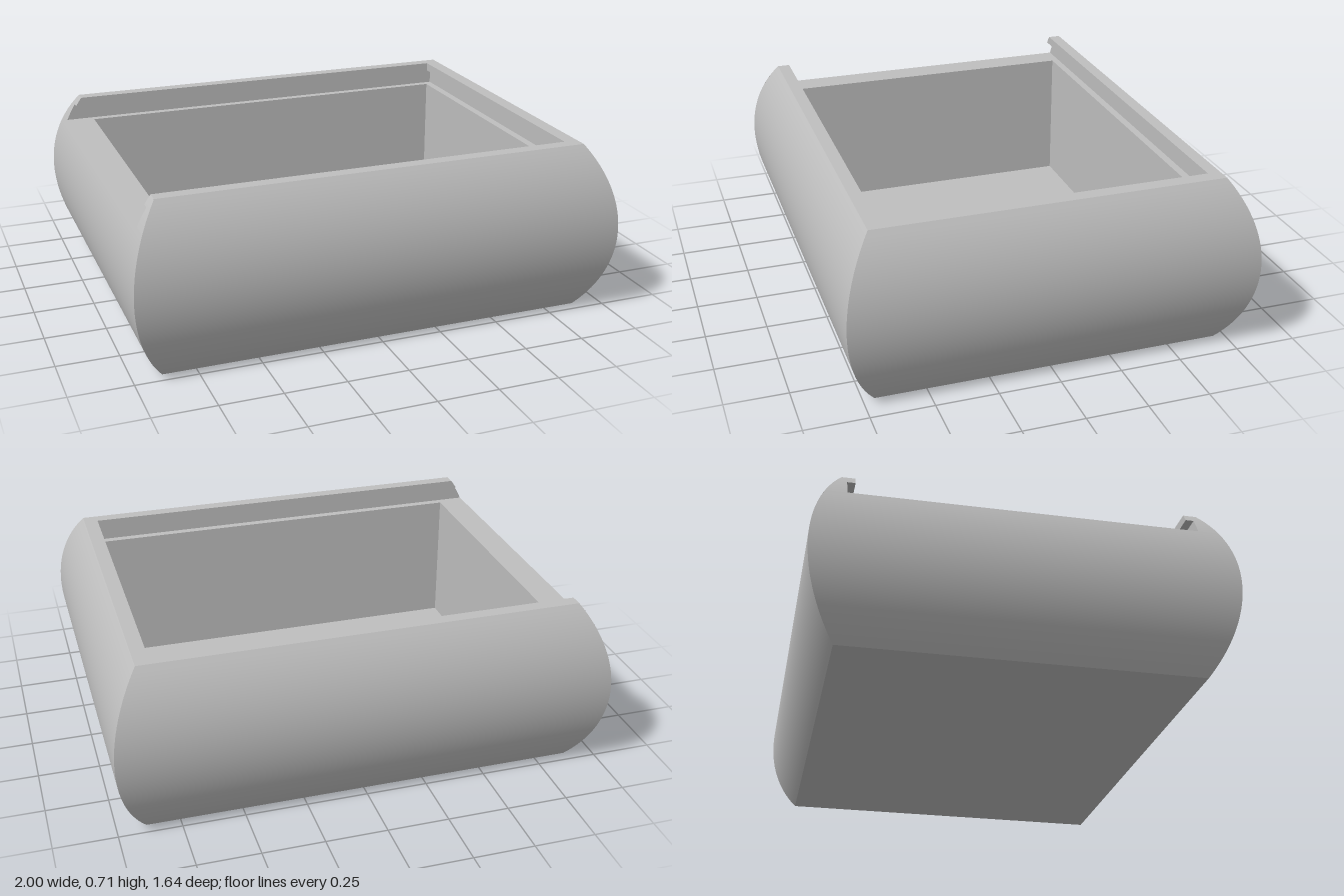
import * as THREE from 'three';

// Open box with bulging mitred walls and a slot for a sliding lid, open at -x
const H = 0.706, R = 0.59;
const FLOOR = 0.025, LEDGE = 0.6, LIP = 0.67;      // heights
const CX0 = -0.83, CX1 = 0.825, CZ = 0.652;        // cavity and lip opening
const GX = 0.858, GZ = 0.684;                      // undercut groove

// Bulge: outer half-widths at a given height
const inset = y => R - Math.sqrt(R * R - (y - H / 2) ** 2);
const ox = y => 1 - inset(y);
const oz = y => 0.821 - inset(y);

// Upright surface between a left edge and a right edge, as seen from its front
function sheet(y0, y1, n, left, right) {
  const pos = [], index = [];
  for (let i = 0; i <= n; i++) {
    const y = y0 + (y1 - y0) * i / n;
    const [lx, lz] = left(y), [rx, rz] = right(y);
    pos.push(lx, y, lz, rx, y, rz);
    if (i < n) {
      const k = i * 2;
      index.push(k, k + 1, k + 3, k, k + 3, k + 2);
    }
  }
  const g = new THREE.BufferGeometry();
  g.setAttribute('position', new THREE.Float32BufferAttribute(pos, 3));
  g.setIndex(index);
  g.computeVertexNormals();
  return g;
}

// Level surface from an outline of [x, z] points, facing up or down
function level(y, points, up = true, hole = null) {
  const toV = p => new THREE.Vector2(p[0], p[1]);
  const s = new THREE.Shape(points.map(toV));
  if (hole) s.holes.push(new THREE.Path(hole.map(toV)));
  const g = new THREE.ShapeGeometry(s);
  g.rotateX(up ? -Math.PI / 2 : Math.PI / 2);
  g.translate(0, y, 0);
  return g;
}

const rect = (x0, x1, z) => [[x0, -z], [x1, -z], [x1, z], [x0, z]];
// U outline, open towards -x
const uShape = (x0, x1, z, ix, iz) =>
  [[x0, -z], [x1, -z], [x1, z], [x0, z], [x0, iz], [ix, iz], [ix, -iz], [x0, -iz]];

export function createModel() {
  const group = new THREE.Group();
  const grey = new THREE.MeshStandardMaterial({ color: 0xbfbfbf, side: THREE.DoubleSide });
  grey.name = 'grey';
  const add = (name, g) => {
    const m = new THREE.Mesh(g, grey);
    m.name = name;
    group.add(m);
  };

  // Outer walls
  const fl = y => [-ox(y), oz(y)], fr = y => [ox(y), oz(y)];
  const bl = y => [-ox(y), -oz(y)], br = y => [ox(y), -oz(y)];
  add('frontWall', sheet(0, H, 40, fl, fr));
  add('leftWall', sheet(0, H, 40, fr, br));
  add('backWall', sheet(0, H, 40, br, bl));
  add('rightWall', sheet(0, LEDGE, 34, bl, fl));

  // Wall ends either side of the slot mouth
  for (const [y0, y1, z] of [[LEDGE, LIP, GZ], [LIP, H, CZ]]) {
    add('slotEndBack', sheet(y0, y1, 6, bl, y => [-ox(y), -z]));
    add('slotEndFront', sheet(y0, y1, 6, y => [-ox(y), z], fl));
  }

  // Groove and lip inner faces
  for (const [name, y0, y1, x, z] of [['groove', LEDGE, LIP, GX, GZ], ['lip', LIP, H, CX1, CZ]]) {
    add(name + 'Back', sheet(y0, y1, 6, y => [-ox(y), -z], () => [x, -z]));
    add(name + 'Left', sheet(y0, y1, 1, () => [x, -z], () => [x, z]));
    add(name + 'Front', sheet(y0, y1, 6, () => [x, z], y => [-ox(y), z]));
  }

  // Cavity walls
  const c = [[CX0, -CZ], [CX1, -CZ], [CX1, CZ], [CX0, CZ]];
  c.forEach((p, i) => add('cavityWall', sheet(FLOOR, LEDGE, 1, () => p, () => c[(i + 1) % 4])));

  // Level faces
  add('base', level(0, rect(-ox(0), ox(0), oz(0)), false));
  add('cavityFloor', level(FLOOR, rect(CX0, CX1, CZ)));
  add('lidLedge', level(LEDGE, rect(-ox(LEDGE), GX, GZ), true, rect(CX0, CX1, CZ)));
  add('lipUnderside', level(LIP, uShape(-ox(LIP), GX, GZ, CX1, CZ), false));
  add('rim', level(H, uShape(-ox(H), ox(H), oz(H), CX1, CZ)));
  return group;
}
